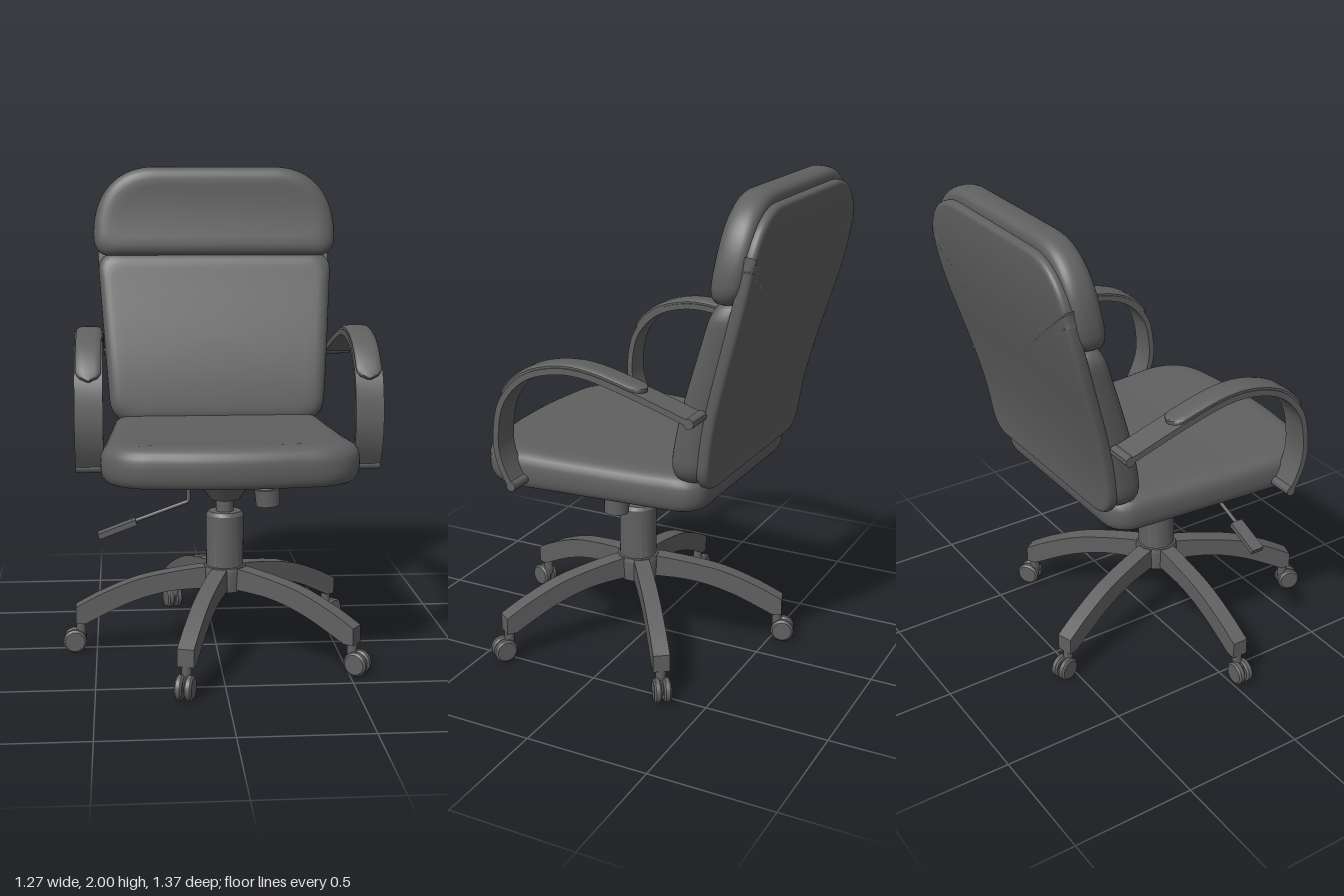
import * as THREE from 'three';
import { toCreasedNormals } from 'three/addons/utils/BufferGeometryUtils.js';

const CX = 0.033; // centre line of the chair
const HUB_Z = 0.04; // column axis

// Skin over closed rings of points, anticlockwise around the direction of travel
function loft(rings) {
  const n = rings[0].length, index = [];
  for (let i = 0; i < rings.length - 1; i++) {
    for (let j = 0; j < n; j++) {
      const k = (j + 1) % n;
      const a = i * n + j, b = i * n + k, c = a + n, d = b + n;
      index.push(a, b, c, b, d, c);
    }
  }
  const geo = new THREE.BufferGeometry().setFromPoints(rings.flat());
  geo.setIndex(index);
  geo.computeVertexNormals();
  return geo;
}

// Polygon outline with rounded corners, from [u, v, radius] listed anticlockwise
function roundedOutline(corners, count = 128) {
  const shape = new THREE.Shape();
  const n = corners.length;
  corners.forEach(([x, y, r], i) => {
    const p = new THREE.Vector2(x, y);
    const toward = (c) => new THREE.Vector2(c[0], c[1]).sub(p).setLength(r).add(p);
    const a = toward(corners[(i + n - 1) % n]), b = toward(corners[(i + 1) % n]);
    if (i === 0) shape.moveTo(a.x, a.y); else shape.lineTo(a.x, a.y);
    const m = p.clone().multiplyScalar(0.62);
    shape.bezierCurveTo(a.x * 0.38 + m.x, a.y * 0.38 + m.y, b.x * 0.38 + m.x, b.y * 0.38 + m.y, b.x, b.y);
  });
  shape.closePath();
  return shape.getSpacedPoints(count).slice(0, count);
}

// Upholstered slab: outline with rounded rims; place(u, v, t) sets t = 0 (rear) to 1 (face)
function cushion(corners, rimLow, rimHigh, place) {
  const outline = roundedOutline(corners);
  const box = new THREE.Box2().setFromPoints(outline);
  const c = box.getCenter(new THREE.Vector2()), h = box.getSize(new THREE.Vector2()).multiplyScalar(0.5);
  const caps = [0, 0.2, 0.4, 0.6, 0.8, 0.93];
  const rings = [];
  const ring = (inset, t, k) => rings.push(outline.map((p) => place(
    c.x + (p.x - c.x) * (1 - inset / h.x) * k, c.y + (p.y - c.y) * (1 - inset / h.y) * k, t)));
  caps.forEach((k) => ring(rimLow, 0, k));
  const steps = 14;
  for (let i = 0; i <= steps; i++) {
    const a = (i / steps - 0.5) * Math.PI, s = Math.sin(a);
    const t = 0.5 + 0.5 * Math.sign(s) * Math.pow(Math.abs(s), 0.8);
    ring((s < 0 ? rimLow : rimHigh) * (1 - Math.pow(Math.max(0, Math.cos(a)), 0.8)), t, 1);
  }
  [...caps].reverse().forEach((k) => ring(rimHigh, 1, k));
  return loft(rings);
}

// Band following a (z, y) curve; section points are [outward offset, x]
function band(curve, t0, t1, section, widthAt) {
  const rings = [], steps = 48;
  for (let i = 0; i <= steps; i++) {
    const f = i / steps, t = t0 + (t1 - t0) * f;
    const p = curve.getPointAt(t), d = curve.getTangentAt(t), w = widthAt(f);
    rings.push(section.map(([n, x]) => new THREE.Vector3(x * w, p.y - d.x * n, p.x + d.y * n)));
  }
  const close = (r) => {
    const m = r.reduce((s, p) => s.add(p), new THREE.Vector3()).divideScalar(r.length);
    return r.map(() => m.clone());
  };
  return toCreasedNormals(loft([close(rings[0]), ...rings, close(rings[steps])]), 0.7);
}

export function createModel() {
  const model = new THREE.Group();
  model.name = 'officeChair';
  const grey = new THREE.MeshStandardMaterial({ color: 0x606060 });
  grey.name = 'charcoal grey';
  const add = (parent, name, geo, x = 0, y = 0, z = 0) => {
    const mesh = new THREE.Mesh(geo, grey);
    mesh.name = name;
    mesh.position.set(x, y, z);
    parent.add(mesh);
    return mesh;
  };
  const cyl = (top, bottom, height, sides = 32) => new THREE.CylinderGeometry(top, bottom, height, sides);

  // Seat, slightly dished on top
  const seatCorners = [[-0.45, 0.45, 0.1], [-0.52, -0.5, 0.2], [0, -0.56, 0.2], [0.52, -0.5, 0.2], [0.45, 0.45, 0.1]];
  add(model, 'seat', cushion(seatCorners, 0.035, 0.085, (u, v, t) => {
    const dish = 0.014 * Math.max(0, 1 - (v * v) / 0.2);
    return new THREE.Vector3(CX + u, 0.78 + t * (0.16 - dish - 0.02 * Math.max(0, v)), -v);
  }));

  // Backrest parts all follow one leaning S-curve
  const rearZ = (y) => -0.486 - 0.2 * THREE.MathUtils.smoothstep(y, 0.88, 1.92);
  const backPart = (name, corners, rimLow, rimHigh, from, to) =>
    add(model, name, cushion(corners, rimLow, rimHigh, (u, v, t) =>
      new THREE.Vector3(CX + u, v, rearZ(v) + from + t * (to(v) - from))));
  backPart('backShell', [[-0.455, 0.875, 0.1], [0.455, 0.875, 0.1], [0.525, 1.65, 0.15], [0.5, 1.95, 0.22],
    [-0.5, 1.95, 0.22], [-0.525, 1.65, 0.15]], 0.02, 0.012, 0, () => 0.05);
  backPart('backCushion', [[-0.465, 0.89, 0.1], [0.465, 0.89, 0.1], [0.52, 1.625, 0.08], [-0.52, 1.625, 0.08]],
    0.03, 0.06, 0.03, (y) => 0.16 - 0.04 * (y - 1));
  backPart('headCushion', [[-0.53, 1.61, 0.07], [0.53, 1.61, 0.07], [0.538, 1.74, 0.05], [0.48, 2.0, 0.21],
    [-0.48, 2.0, 0.21], [-0.538, 1.74, 0.05]], 0.04, 0.075, 0.03, () => 0.156);

  // Curved armrests with pads
  const armCurve = new THREE.SplineCurve([[0.28, 0.82], [0.328, 0.92], [0.341, 1.02], [0.312, 1.16], [0.22, 1.265],
    [0.09, 1.314], [-0.05, 1.317], [-0.24, 1.272], [-0.49, 1.195]].map(([z, y]) => new THREE.Vector2(z, y)));
  const railSection = [[-0.012, -0.055], [0.012, -0.055], [0.012, 0.055], [-0.012, 0.055]];
  const padSection = [[0.005, -0.05], [0.02, -0.05], [0.027, -0.042], [0.03, -0.025], [0.03, 0.025],
    [0.027, 0.042], [0.02, 0.05], [0.005, 0.05]];
  const padWidth = (f) => Math.sqrt(Math.max(0.02, 1 - Math.pow(Math.max(0, 1 - Math.min(f, 1 - f) / 0.07), 2)));
  for (const side of [-1, 1]) {
    const arm = new THREE.Group();
    arm.name = side > 0 ? 'leftArmrest' : 'rightArmrest';
    arm.position.x = 0.03 + side * 0.545;
    add(arm, 'armRail', band(armCurve, 0, 1, railSection, () => 1));
    add(arm, 'armPad', band(armCurve, 0.29, 0.82, padSection, padWidth));
    for (const [z, y] of [[0.28, 0.825], [-0.475, 1.198]]) {
      add(arm, 'armMount', cyl(0.02, 0.02, 0.11, 20).rotateZ(Math.PI / 2), 0, y, z);
      add(arm, 'armBolt', cyl(0.012, 0.012, 0.1, 16).rotateZ(Math.PI / 2), -side * 0.06, y, z);
    }
    model.add(arm);
  }

  // Tilt mechanism under the seat
  const plates = [[0.42, 0.02, 0.35, 0.77], [0.34, 0.025, 0.28, 0.75], [0.25, 0.035, 0.22, 0.722]];
  for (const [w, h, d, y] of plates) add(model, 'mechanismPlate', new THREE.BoxGeometry(w, h, d), CX, y, HUB_Z);
  add(model, 'mechanismCone', toCreasedNormals(cyl(0.11, 0.06, 0.07, 24), 0.5), CX, 0.675, HUB_Z);

  // Tension knob with ribbed neck
  const knob = new THREE.Group();
  knob.name = 'tensionKnob';
  knob.position.set(0.21, 0.645, 0.045);
  knob.rotation.z = 0.07;
  add(knob, 'knobGrip', cyl(0.053, 0.05, 0.07, 24));
  for (let i = 0; i < 5; i++) add(knob, 'knobRib', cyl(0.037, 0.042, 0.018, 24), 0, 0.045 + i * 0.019, 0);
  model.add(knob);

  // Height lever
  const leverPath = new THREE.CurvePath();
  const leverPoints = [[-0.08, 0.715, 0.12], [-0.125, 0.715, 0.19], [-0.125, 0.665, 0.19], [-0.37, 0.577, 0.19]]
    .map((p) => new THREE.Vector3(...p));
  for (let i = 0; i < 3; i++) leverPath.add(new THREE.LineCurve3(leverPoints[i], leverPoints[i + 1]));
  add(model, 'leverRod', new THREE.TubeGeometry(leverPath, 40, 0.008, 10));
  add(model, 'leverPaddle', new THREE.BoxGeometry(0.16, 0.022, 0.055), -0.41, 0.558, 0.19).rotation.z = 0.36;

  // Gas column
  const column = [[0, 0.26], [0.085, 0.26], [0.09, 0.345], [0.085, 0.36], [0.077, 0.362], [0.077, 0.575],
    [0.067, 0.59], [0.037, 0.59], [0.037, 0.66], [0, 0.66]].map(([r, y]) => new THREE.Vector2(r, y));
  add(model, 'gasColumn', toCreasedNormals(new THREE.LatheGeometry(column, 40), 0.4), CX, 0, HUB_Z);

  // Five-star base with twin-wheel casters
  const v2 = (list) => list.map(([r, y]) => new THREE.Vector2(r, y));
  const legShape = new THREE.Shape();
  legShape.moveTo(0.03, 0.355);
  legShape.splineThru(v2([[0.12, 0.354], [0.34, 0.315], [0.5, 0.255], [0.615, 0.195]]));
  legShape.lineTo(0.615, 0.125);
  legShape.lineTo(0.575, 0.125);
  legShape.splineThru(v2([[0.4, 0.21], [0.23, 0.258], [0.03, 0.27]]));
  const legGeo = toCreasedNormals(
    new THREE.ExtrudeGeometry(legShape, { depth: 0.066, bevelEnabled: false, curveSegments: 16 }).translate(0, 0, -0.033), 0.5);
  const wheelProfile = [[0, -0.015], [0.04, -0.015], [0.048, -0.008], [0.048, 0.008], [0.04, 0.015], [0, 0.015]];
  const wheelGeo = toCreasedNormals(new THREE.LatheGeometry(v2(wheelProfile), 28).rotateX(Math.PI / 2), 0.6);
  for (let i = 0; i < 5; i++) {
    const leg = new THREE.Group();
    leg.name = 'baseLeg' + (i + 1);
    leg.position.set(CX - 0.003, 0, HUB_Z);
    leg.rotation.y = Math.PI + (i * 2 * Math.PI) / 5;
    add(leg, 'legBeam', legGeo);
    add(leg, 'casterStem', cyl(0.02, 0.02, 0.08, 16), 0.595, 0.1, 0);
    add(leg, 'casterBody', new THREE.BoxGeometry(0.05, 0.05, 0.014), 0.61, 0.06, 0);
    for (const s of [-1, 1]) add(leg, 'casterWheel', wheelGeo, 0.62, 0.048, s * 0.019);
    model.add(leg);
  }
  return model;
}
